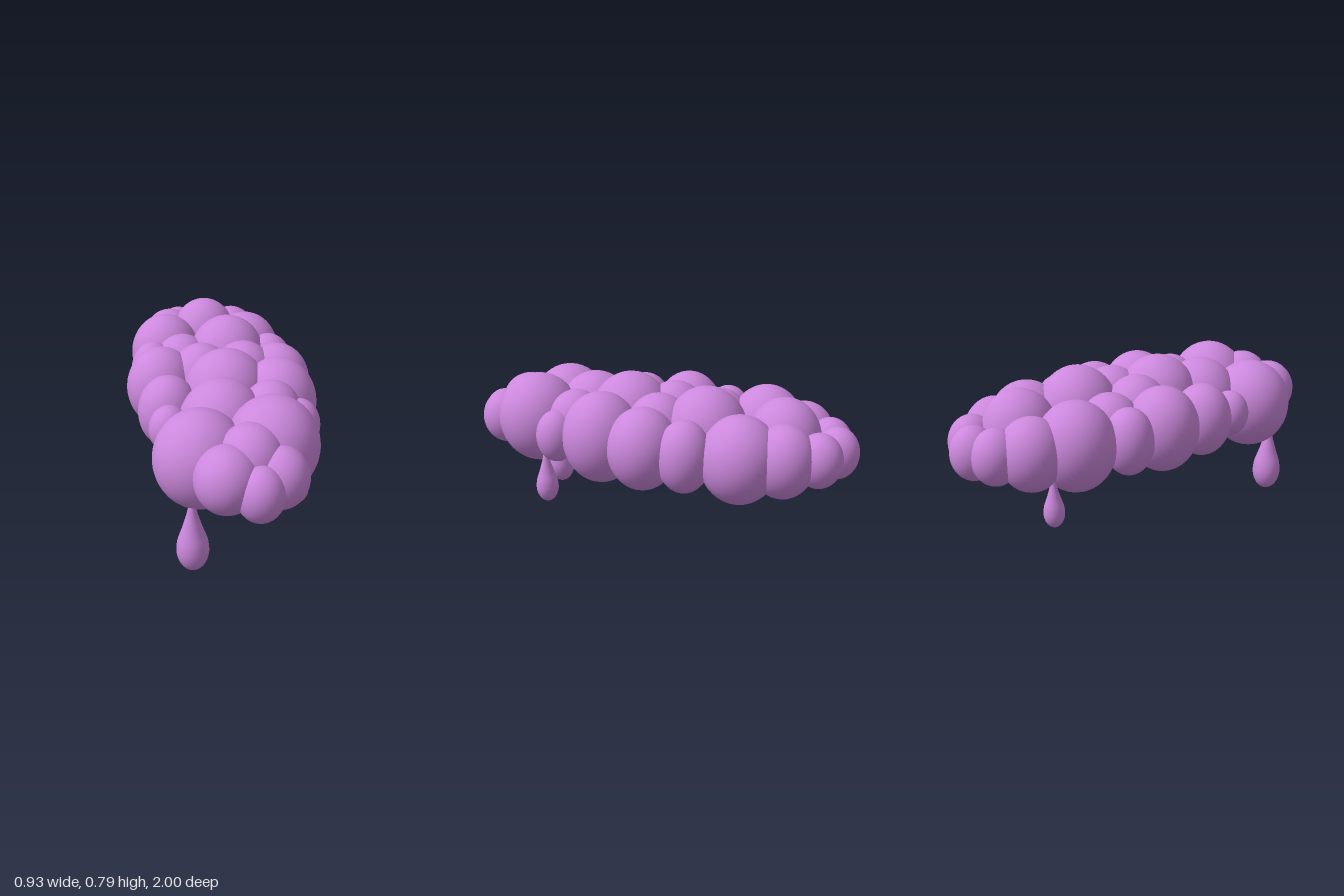
import * as THREE from 'three';

const material = new THREE.MeshStandardMaterial({ color: 0xcc88dd, roughness: 0.8 });

// Cloud puffs, row by row from front to back: x, y, z, radius, half height
const puffs = [
  // front tip
  [0.01, 0.485, 0.89, 0.105, 0.125],
  [-0.115, 0.52, 0.815, 0.14, 0.15],
  [0.11, 0.505, 0.81, 0.125, 0.14],
  [0, 0.545, 0.73, 0.15, 0.17],
  // front pair
  [-0.195, 0.5, 0.6, 0.207, 0.225],
  [0.125, 0.535, 0.6, 0.207, 0.227],
  // front middle
  [-0.3, 0.52, 0.36, 0.095, 0.115],
  [-0.06, 0.508, 0.37, 0.205, 0.242],
  [0.17, 0.55, 0.36, 0.145, 0.17],
  [0.29, 0.515, 0.41, 0.1, 0.13],
  // middle
  [-0.285, 0.52, 0.19, 0.145, 0.18],
  [0, 0.56, 0.14, 0.205, 0.23],
  [0.24, 0.525, 0.19, 0.19, 0.225],
  [-0.29, 0.53, -0.06, 0.175, 0.205],
  [-0.09, 0.55, -0.06, 0.165, 0.192],
  [0.12, 0.55, -0.06, 0.165, 0.19],
  [0.29, 0.52, -0.05, 0.17, 0.2],
  // back middle
  [-0.31, 0.52, -0.27, 0.12, 0.16],
  [-0.16, 0.54, -0.27, 0.15, 0.17],
  [0.08, 0.56, -0.29, 0.2, 0.23],
  [0.295, 0.515, -0.26, 0.13, 0.175],
  // back pair
  [-0.225, 0.525, -0.5, 0.185, 0.21],
  [0.215, 0.51, -0.5, 0.187, 0.21],
  [0.01, 0.56, -0.65, 0.175, 0.2],
  // back tip
  [-0.18, 0.52, -0.7, 0.15, 0.17],
  [0.17, 0.515, -0.69, 0.15, 0.175],
  [-0.115, 0.52, -0.84, 0.11, 0.13],
  [0.11, 0.52, -0.84, 0.11, 0.13],
  [-0.015, 0.52, -0.895, 0.105, 0.125],
];

// Falling drops: x, bottom y, z, radius
const drops = [
  [-0.248, 0, 0.71, 0.073],
  [0.277, 0.145, 0.487, 0.056],
  [-0.277, 0.195, -0.655, 0.048],
];

// Teardrop of unit radius standing on y = 0
function dropGeometry() {
  const points = [];
  for (let i = 0; i <= 10; i++) {
    const a = (i / 10) * Math.PI / 2;
    points.push(new THREE.Vector2(Math.sin(a), 1.45 * (1 - Math.cos(a))));
  }
  const taper = new THREE.SplineCurve([
    [1, 1.45], [0.92, 2.1], [0.64, 2.95], [0.36, 3.9], [0.2, 4.6], [0, 5.2],
  ].map(([r, y]) => new THREE.Vector2(r, y)));
  points.push(...taper.getPoints(20).slice(1));
  return new THREE.LatheGeometry(points, 28);
}

export function createModel() {
  const model = new THREE.Group();
  model.name = 'drippingCloud';

  // Cloud body
  const cloud = new THREE.Group();
  cloud.name = 'cloud';
  const ball = new THREE.SphereGeometry(1, 40, 28);
  puffs.forEach(([x, y, z, r, h], i) => {
    const puff = new THREE.Mesh(ball, material);
    puff.name = `puff${i + 1}`;
    puff.position.set(x, y, z);
    puff.scale.set(r, h, r);
    cloud.add(puff);
  });
  model.add(cloud);

  // Drops hanging below
  const tear = dropGeometry();
  drops.forEach(([x, y, z, r], i) => {
    const drop = new THREE.Mesh(tear, material);
    drop.name = `drop${i + 1}`;
    drop.position.set(x, y, z);
    drop.scale.setScalar(r);
    model.add(drop);
  });
  return model;
}
